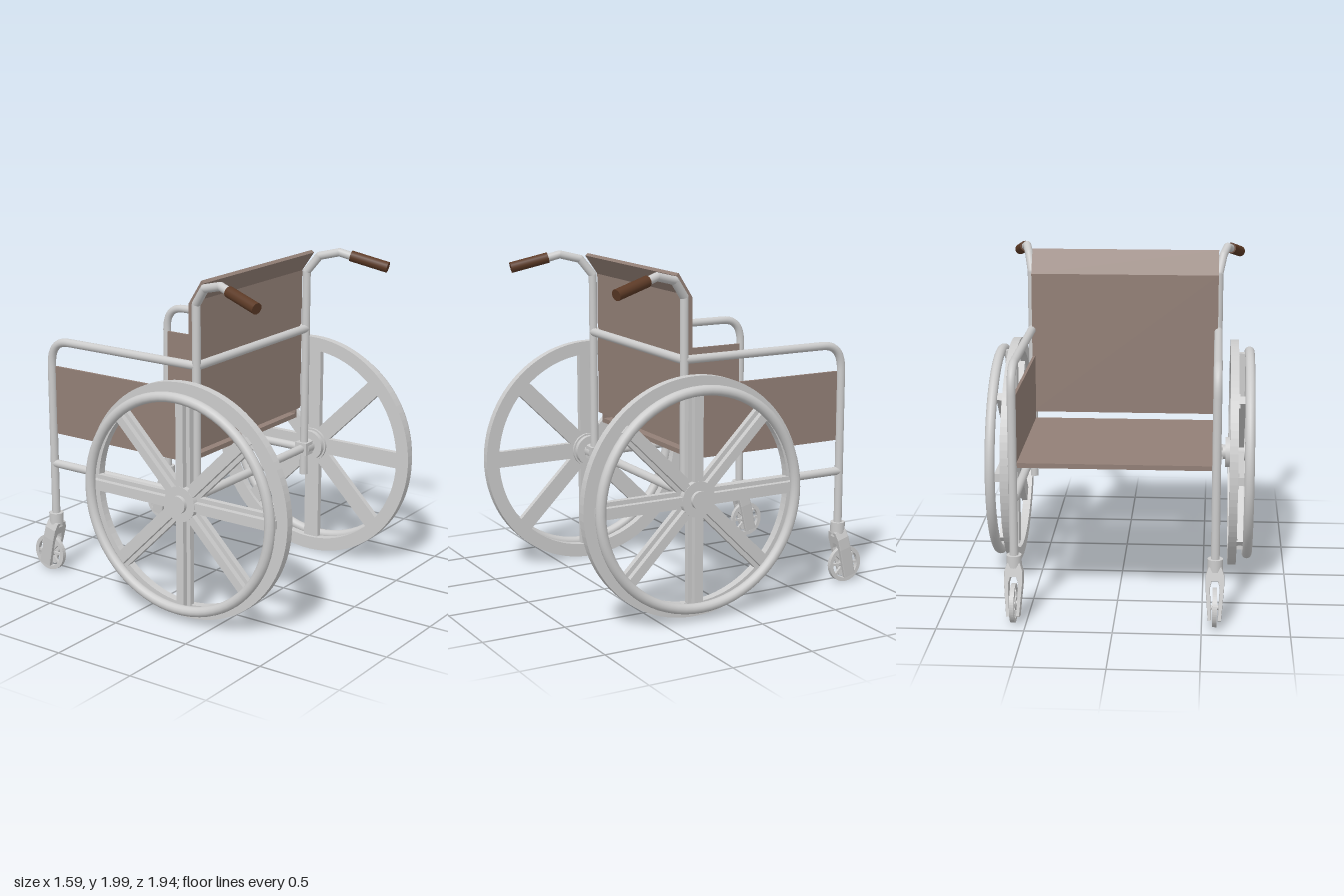
import * as THREE from 'three';

const metal = new THREE.MeshStandardMaterial({ color: 0xcccccc });
const fabric = new THREE.MeshStandardMaterial({ color: 0x927f76, side: THREE.DoubleSide });
const gripMat = new THREE.MeshStandardMaterial({ color: 0x5c3a26 });
const V = (x, y, z) => new THREE.Vector3(x, y, z);

const AXLE_Y = 0.712, AXLE_Z = 0.27, POST_X = 0.573, FRONT_Z = -0.805, TUBE = 0.025;

function add(parent, name, geometry, material, x = 0, y = 0, z = 0) {
  const mesh = new THREE.Mesh(geometry, material);
  mesh.name = name;
  mesh.position.set(x, y, z);
  parent.add(mesh);
  return mesh;
}

// Round bar between two points
function rod(parent, name, a, b, r, material = metal) {
  const mesh = add(parent, name, new THREE.CylinderGeometry(r, r, a.distanceTo(b), 20), material);
  mesh.position.copy(a).lerp(b, 0.5);
  mesh.quaternion.setFromUnitVectors(V(0, 1, 0), b.clone().sub(a).normalize());
  return mesh;
}

// Chain of bars with ball joints at the bends
function bentRod(parent, name, points, r) {
  points.forEach((p, i) => {
    if (i === 0) return;
    rod(parent, name, points[i - 1], p, r);
    if (i < points.length - 1) add(parent, name + 'Bend', new THREE.SphereGeometry(r, 16, 12), metal, p.x, p.y, p.z);
  });
}

// Ring of rectangular section turned around the x axis
function flatRing(inner, outer, width, segments) {
  const h = width / 2;
  const shape = new THREE.Shape().absarc(0, 0, outer, 0, Math.PI * 2);
  shape.holes.push(new THREE.Path().absarc(0, 0, inner, 0, Math.PI * 2, true));
  return new THREE.ExtrudeGeometry(shape, { depth: width, bevelEnabled: false, curveSegments: segments })
    .translate(0, 0, -h).rotateY(Math.PI / 2);
}

const disc = (r, width, seg = 32) => new THREE.CylinderGeometry(r, r, width, seg).rotateZ(Math.PI / 2);

// Drive wheel, centred on its hub; +x points outwards from the chair
function driveWheel() {
  const wheel = new THREE.Group();
  wheel.name = 'driveWheel';
  add(wheel, 'tyre', flatRing(0.62, 0.702, 0.05, 48), metal, 0.675);
  add(wheel, 'pushRim', new THREE.TorusGeometry(0.631, 0.03, 14, 72).rotateY(Math.PI / 2), metal, 0.768);
  for (let i = 0; i < 8; i++) {
    const spoke = new THREE.Group();
    spoke.name = 'spoke';
    spoke.rotation.x = i * Math.PI / 4;
    add(spoke, 'spokeBlade', new THREE.BoxGeometry(0.035, 0.58, 0.1), metal, 0.69, 0.335);
    add(spoke, 'spokeRidge', new THREE.BoxGeometry(0.045, 0.6, 0.05), metal, 0.718, 0.335);
    wheel.add(spoke);
  }
  add(wheel, 'hub', disc(0.105, 0.085), metal, 0.7);
  add(wheel, 'hubCap', disc(0.052, 0.04), metal, 0.745);
  add(wheel, 'hubFlange', disc(0.094, 0.03), metal, 0.643);
  add(wheel, 'axleStub', disc(0.045, 0.08), metal, 0.605);
  return wheel;
}

// Small swivelling wheel with its slanted fork, origin at the swivel post
function caster() {
  const group = new THREE.Group();
  group.name = 'caster';
  add(group, 'swivelSocket', new THREE.CylinderGeometry(0.044, 0.044, 0.07, 20), metal, 0, 0.358);
  add(group, 'socketCollar', new THREE.CylinderGeometry(0.036, 0.042, 0.03, 20), metal, 0, 0.32);

  // Fork outline seen from the front, with a slot for the wheel
  const fork = new THREE.Shape([
    [-0.036, 0.015], [-0.051, -0.03], [-0.051, -0.1], [-0.036, -0.285], [-0.02, -0.285], [-0.03, -0.1],
    [-0.018, -0.06], [0.018, -0.06], [0.03, -0.1], [0.02, -0.285], [0.036, -0.285], [0.051, -0.1],
    [0.051, -0.03], [0.036, 0.015],
  ].map(([x, y]) => new THREE.Vector2(x, y)));
  const forkMesh = add(group, 'fork', new THREE.ExtrudeGeometry(fork, { depth: 0.066, bevelEnabled: true,
    bevelThickness: 0.006, bevelSize: 0.002, bevelSegments: 1 }).translate(0, 0, -0.033), metal, 0, 0.325, 0);
  forkMesh.rotation.x = 0.26;

  const wheel = new THREE.Group();
  wheel.name = 'casterWheel';
  wheel.position.set(0, 0.12, -0.055);
  add(wheel, 'casterTyre', flatRing(0.088, 0.112, 0.026, 24), metal);
  add(wheel, 'casterHub', disc(0.032, 0.03, 20), metal);
  for (let i = 0; i < 8; i++) {
    const a = i * Math.PI / 4;
    const spoke = add(wheel, 'casterSpoke', new THREE.BoxGeometry(0.016, 0.075, 0.014), metal,
      0, Math.cos(a) * 0.058, Math.sin(a) * 0.058);
    spoke.rotation.x = a;
  }
  add(wheel, 'casterAxle', disc(0.014, 0.08, 14), metal);
  group.add(wheel);
  return group;
}

// Everything on one side of the chair; s is +1 or -1
function sideFrame(s) {
  const side = new THREE.Group();
  side.name = s > 0 ? 'leftSide' : 'rightSide';
  const P = (x, y, z) => V(s * x, y, z);

  // Upright post, bent outwards into the push handle
  bentRod(side, 'backPost', [
    P(POST_X, 0.54, AXLE_Z), P(POST_X, 1.84, AXLE_Z), P(0.596, 1.94, 0.345),
    P(0.622, 1.972, 0.47), P(0.648, 1.945, 0.57),
  ], TUBE);
  rod(side, 'handGrip', P(0.643, 1.954, 0.54), P(0.702, 1.899, 0.762), 0.033, gripMat);

  // Armrest curving down into the front post
  const path = new THREE.CurvePath();
  path.add(new THREE.LineCurve3(P(POST_X, 1.485, AXLE_Z), P(POST_X, 1.485, -0.67)));
  path.add(new THREE.CubicBezierCurve3(P(POST_X, 1.485, -0.67), P(POST_X, 1.485, -0.76),
    P(POST_X, 1.435, FRONT_Z), P(POST_X, 1.33, FRONT_Z)));
  path.add(new THREE.LineCurve3(P(POST_X, 1.33, FRONT_Z), P(POST_X, 0.37, FRONT_Z)));
  add(side, 'armrestAndFrontPost', new THREE.TubeGeometry(path, 120, TUBE, 16), metal);

  rod(side, 'lowerRail', P(POST_X, AXLE_Y, AXLE_Z), P(POST_X, AXLE_Y, FRONT_Z), TUBE);
  add(side, 'axleClamp', new THREE.BoxGeometry(0.08, 0.08, 0.08), metal, s * POST_X, AXLE_Y, AXLE_Z);
  add(side, 'sidePanel', new THREE.BoxGeometry(0.016, 0.42, 1.0), fabric, s * 0.56, 1.113, -0.285);

  const wheel = driveWheel();
  wheel.position.set(0, AXLE_Y, AXLE_Z);
  if (s < 0) wheel.rotation.y = Math.PI;
  side.add(wheel);

  const swivel = caster();
  swivel.position.set(s * POST_X, 0, FRONT_Z);
  side.add(swivel);
  return side;
}

export function createModel() {
  const chair = new THREE.Group();
  chair.name = 'wheelchair';
  chair.add(sideFrame(1), sideFrame(-1));

  // Cross bars between the sides
  for (const [name, y] of [['backCrossBar', 1.483], ['axleCrossBar', AXLE_Y]])
    rod(chair, name, V(-POST_X, y, AXLE_Z), V(POST_X, y, AXLE_Z), 0.026);

  // Seat and backrest with a lip leaning over the top
  add(chair, 'seat', new THREE.BoxGeometry(1.13, 0.028, 1.0), fabric, 0, 0.917, -0.285);
  const back = new THREE.Shape([
    [0.215, 0.97], [0.24, 0.97], [0.24, 1.845], [0.322, 1.962], [0.304, 1.976], [0.215, 1.835],
  ].map(([z, y]) => new THREE.Vector2(z, y)));
  const backrest = add(chair, 'backrest',
    new THREE.ExtrudeGeometry(back, { depth: 1.14, bevelEnabled: false }), fabric, 0.57);
  backrest.rotation.y = -Math.PI / 2;
  return chair;
}
